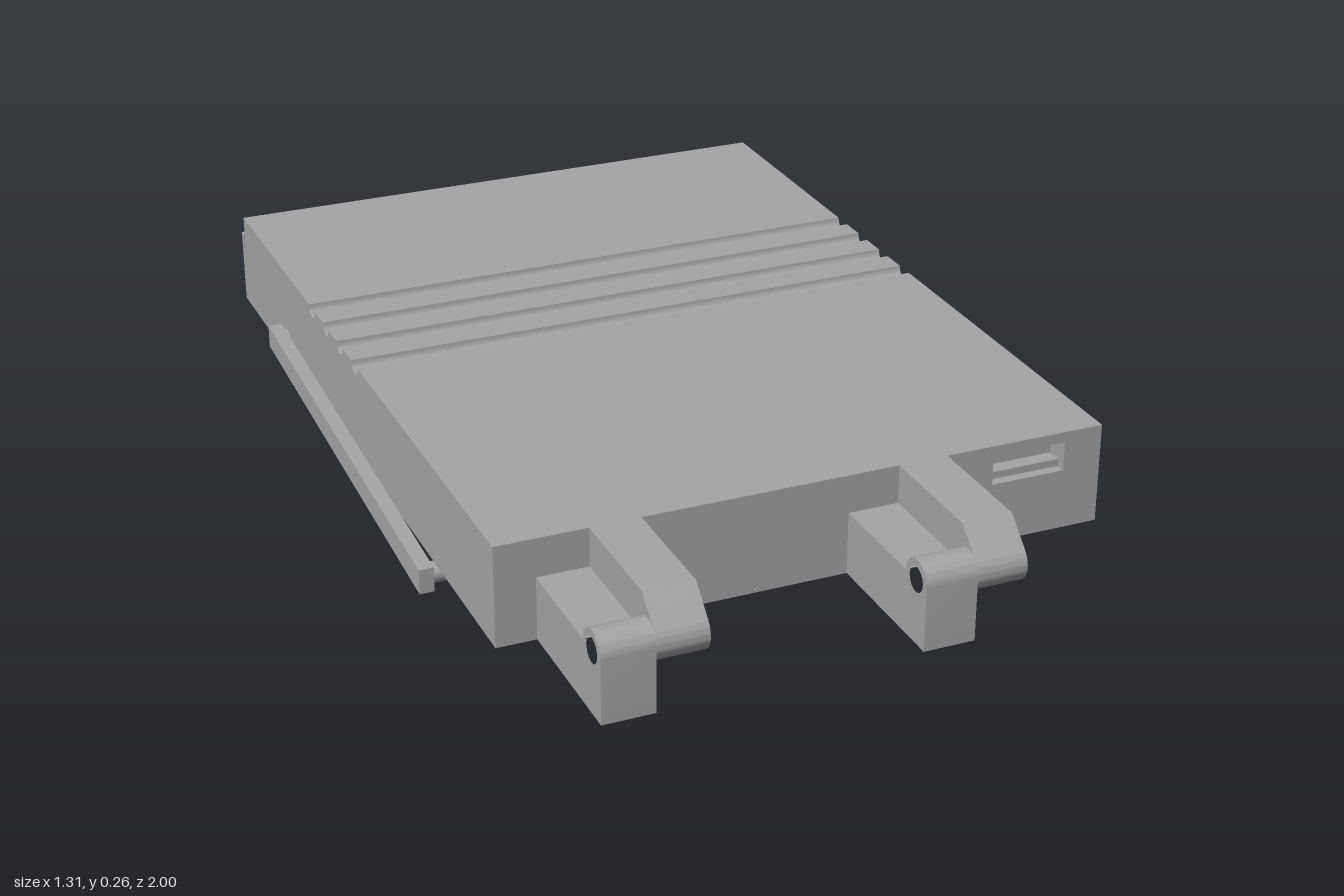
import * as THREE from 'three';
import { toCreasedNormals } from 'three/addons/utils/BufferGeometryUtils.js';

const BOTTOM = 0.055, TOP = 0.262, HALF = 0.62;
const PIN_Z = 0.96, PIN_Y = 0.183, PIN_R = 0.025, BARREL_R = 0.04;

// Points along an arc, angles in degrees
function arc(cx, cy, r, from, to, n = 20) {
  return Array.from({ length: n + 1 }, (_, i) => {
    const a = THREE.MathUtils.degToRad(from + (to - from) * i / n);
    return [cx + r * Math.cos(a), cy + r * Math.sin(a)];
  });
}

function extrude(points, hole, depth) {
  const shape = new THREE.Shape(points.map(p => new THREE.Vector2(...p)));
  if (hole) shape.holes.push(new THREE.Path(hole.map(p => new THREE.Vector2(...p))));
  return new THREE.ExtrudeGeometry(shape, { depth, bevelEnabled: false });
}

// Side profile given as [z, y], swept from x0 to x1
function sideProfile(points, x0, x1, hole) {
  const flip = list => list.map(([z, y]) => [-z, y]);
  const geo = extrude(flip(points), hole && flip(hole), x1 - x0);
  geo.rotateY(Math.PI / 2).translate(x0, 0, 0);
  return toCreasedNormals(geo, 0.6);
}

// Face profile given as [x, y], swept from z0 to z1
function faceProfile(points, z0, z1, hole) {
  return toCreasedNormals(extrude(points, hole, z1 - z0).translate(0, 0, z0), 0.6);
}

function box(x0, x1, y0, y1, z0, z1) {
  return new THREE.BoxGeometry(x1 - x0, y1 - y0, z1 - z0)
    .translate((x0 + x1) / 2, (y0 + y1) / 2, (z0 + z1) / 2);
}

function rod(r, x0, x1, y, z) {
  return new THREE.CylinderGeometry(r, r, x1 - x0, 24)
    .rotateZ(Math.PI / 2).translate((x0 + x1) / 2, y, z);
}

export function createModel() {
  const group = new THREE.Group();
  const grey = new THREE.MeshStandardMaterial({ color: 0xa5a5a5 });
  grey.name = 'plain grey';
  const add = (name, geo) => {
    const mesh = new THREE.Mesh(geo, grey);
    mesh.name = name;
    group.add(mesh);
  };

  // Case with four grip grooves across the lid
  const wallZ = 0.64, lidBack = -0.975;
  const outline = [[lidBack, BOTTOM], [wallZ, BOTTOM], [wallZ, TOP]];
  for (const z of [-0.13, -0.23, -0.33, -0.43]) {
    outline.push(...arc(z, TOP, 0.021, 0, -180, 12));
  }
  outline.push([lidBack, TOP]);
  add('case', sideProfile(outline, -HALF, HALF));

  // Front wall with a slot and its inner sill
  add('frontWall', faceProfile(
    [[-HALF, BOTTOM], [HALF, BOTTOM], [HALF, TOP], [-HALF, TOP]], wallZ, 0.69,
    [[0.385, 0.18], [0.385, 0.24], [0.54, 0.24], [0.54, 0.18]]));
  add('slotSill', box(0.385, 0.54, 0.18, 0.195, wallZ, 0.67));

  // Rear lip with a thumb notch, and a narrow seam in front of it
  const lipTop = 0.218;
  add('rearLip', faceProfile([
    [-HALF, BOTTOM], [HALF, BOTTOM], [HALF, lipTop],
    ...arc(0, lipTop, 0.09, 0, -180, 28), [-HALF, lipTop],
  ], -1, -0.984));
  add('seamFloor', box(-HALF, HALF, BOTTOM, 0.18, -0.984, lidBack));

  // Two hinges, each a lower knuckle beside an upper one
  const pinHole = arc(PIN_Z, PIN_Y, PIN_R, 0, 350, 35);
  const lowerKnuckle = [
    [0.69, BOTTOM], [1, BOTTOM], ...arc(PIN_Z, PIN_Y, BARREL_R, 0, 180), [0.69, PIN_Y],
  ];
  const upperKnuckle = [
    [0.69, TOP], [0.935, TOP], ...arc(PIN_Z, PIN_Y, BARREL_R, 45, -180, 28), [0.69, PIN_Y],
  ];
  for (const x of [-0.54, 0.081]) {
    add('lowerKnuckle', sideProfile(lowerKnuckle, x, x + 0.103, pinHole));
    add('upperKnuckle', sideProfile(upperKnuckle, x + 0.103, x + 0.204, pinHole));
  }

  // Swinging stand: two arms, pivot pins and a cross bar
  const arm = [[0.362, 0], [0.362, 0.052], [-0.668, 0.128], [-0.668, 0.079]];
  for (const s of [-1, 1]) {
    const span = (a, b) => s > 0 ? [a, b] : [-b, -a];
    add('standArm', sideProfile(arm, ...span(0.626, 0.656)));
    add('pivotPin', rod(0.021, ...span(0.6, 0.63), 0.102, -0.645));
  }
  add('standBar', rod(0.021, -0.63, 0.63, 0.029, 0.338));

  return group;
}
